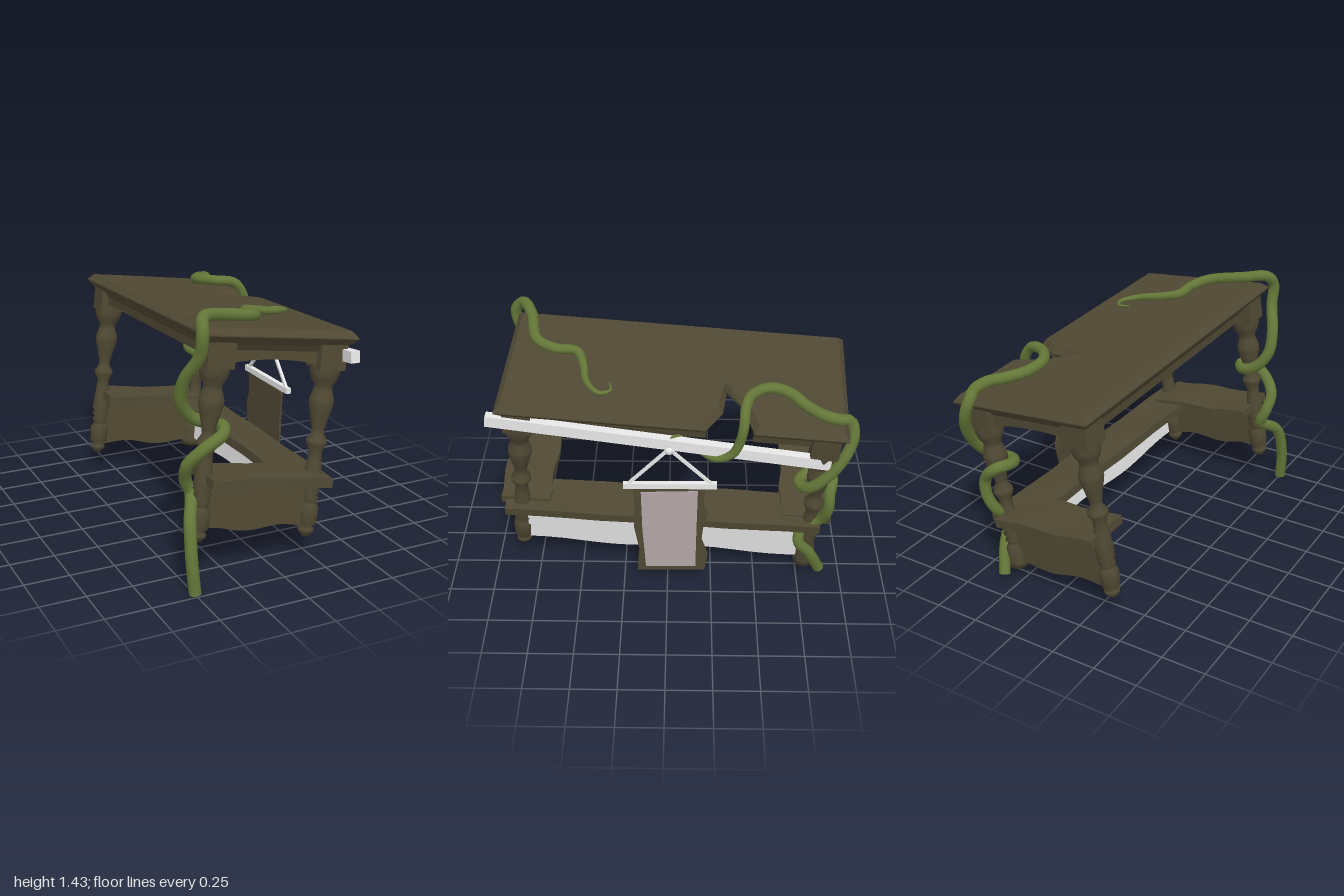
import * as THREE from 'three';

const mat = (name, color) => {
  const m = new THREE.MeshStandardMaterial({ color, side: THREE.DoubleSide });
  m.name = name;
  return m;
};
const V = (x, y, z) => new THREE.Vector3(x, y, z);

export function createModel() {
  const wood = mat('dark wood', 0x4f4833);
  const vineGreen = mat('vine green', 0x647638);
  const pale = mat('pale grey', 0xf2f2f2);
  const mauve = mat('mauve cloth', 0xb3a7a9);
  const model = new THREE.Group();
  model.name = 'overgrownTable';

  const add = (parent, name, geo, material, x = 0, y = 0, z = 0) => {
    const m = new THREE.Mesh(geo, material);
    m.name = name;
    m.position.set(x, y, z);
    parent.add(m);
    return m;
  };
  const outline = pts => new THREE.Shape(pts.map(p => new THREE.Vector2(p[0], p[1])));

  // The table leans as one rigid piece; its own origin is the middle of the top
  const table = new THREE.Group();
  table.name = 'table';
  const ez = V(-0.043, 0.059, 0.997).normalize();
  const ey = ez.clone().cross(V(0.99, -0.13, 0.047)).normalize();
  const ex = ey.clone().cross(ez);
  table.quaternion.setFromRotationMatrix(new THREE.Matrix4().makeBasis(ex, ey, ez));
  table.position.set(0.08, 1.245, -0.045);
  model.add(table);

  // Sharp-lipped top with a broken notch in its left edge
  const topShape = outline([
    [-0.43, -0.93], [0.43, -0.93], [0.43, 0.18], [0.285, 0.265],
    [0.11, 0.28], [0.23, 0.37], [0.43, 0.435], [0.43, 0.93], [-0.43, 0.93],
  ]);
  const topGeo = new THREE.ExtrudeGeometry(topShape, {
    depth: 0.006, bevelThickness: 0.034, bevelSize: 0.03, bevelOffset: -0.03, bevelSegments: 1,
  });
  topGeo.rotateX(-Math.PI / 2);
  add(table, 'tableTop', topGeo, wood, 0, -0.04, 0);

  // Upright panel whose lower edge follows a rule
  const panel = (width, top, bottom, depth) => {
    const pts = [[-width / 2, top]];
    for (let i = 0; i <= 16; i++) pts.push([(i / 16 - 0.5) * width, bottom(i / 16)]);
    pts.push([width / 2, top]);
    return new THREE.ExtrudeGeometry(outline(pts), { depth, bevelEnabled: false }).translate(0, 0, -depth / 2);
  };

  // Turned legs with square heads; the back left one has lost its foot
  const toPoints = a => a.map(p => new THREE.Vector2(p[0], p[1]));
  const foot = [[0, -1.13], [0.02, -1.128], [0.043, -1.1], [0.043, -1.085], [0.026, -1.062]];
  const stump = [[0, -1.085], [0.058, -1.085]];
  const shaft = [
    [0.052, -1.055], [0.055, -0.965], [0.04, -0.945], [0.036, -0.93], [0.049, -0.915], [0.038, -0.895],
    [0.051, -0.875], [0.04, -0.855], [0.053, -0.84], [0.045, -0.76], [0.038, -0.7], [0.036, -0.655],
    [0.055, -0.615], [0.055, -0.595], [0.033, -0.56], [0.035, -0.53], [0.052, -0.46], [0.066, -0.4],
    [0.064, -0.37], [0.05, -0.325], [0.049, -0.3], [0.07, -0.265], [0.08, -0.23], [0.08, -0.19],
  ];
  const legGeo = new THREE.LatheGeometry(toPoints([...foot, ...shaft]), 16);
  const brokenLegGeo = new THREE.LatheGeometry(toPoints([...stump, ...shaft]), 16);
  const headGeo = new THREE.BoxGeometry(0.15, 0.155, 0.15);
  for (const sx of [-1, 1]) for (const sz of [-1, 1]) {
    const broken = sx > 0 && sz < 0;
    const x = sx * 0.315 + (broken ? 0.01 : 0);
    add(table, 'leg', broken ? brokenLegGeo : legGeo, wood, x, 0, sz * 0.82);
    add(table, 'legHead', headGeo, wood, x, -0.132, sz * 0.82);
  }

  // Coved aprons below the top, the left one broken at the notch
  const cove = outline([[0, -0.06], [0.095, -0.06], [0.07, -0.09], [0.05, -0.12], [0.045, -0.165], [0, -0.165]]);
  const apron = (name, length, x, z, turn) => {
    const g = new THREE.ExtrudeGeometry(cove, { depth: length, bevelEnabled: false }).translate(0, 0, -length / 2);
    add(table, name, g, wood, x, 0, z).rotation.y = turn;
  };
  apron('leftFrontApron', 1.06, 0.3, 0.345, 0);
  apron('leftBackApron', 0.44, 0.3, -0.655, 0);
  apron('rightApron', 1.75, -0.3, 0, Math.PI);
  for (const s of [-1, 1]) {
    apron('endApron', 0.76, 0, s * 0.8, -s * Math.PI / 2);
    add(table, 'endArch', panel(0.52, -0.06, u => -0.2 + 0.035 * Math.sin(Math.PI * u) ** 0.5, 0.05),
      wood, 0, 0, s * 0.825);
  }

  // Warped shelf boards: two across the ends, one along the left side
  const board = (w, h, d) => {
    const g = new THREE.BoxGeometry(w, h, d, 10, 1, 10);
    const p = g.attributes.position;
    for (let i = 0; i < p.count; i++) {
      const x = p.getX(i), z = p.getZ(i);
      p.setY(i, p.getY(i) + 0.004 * Math.sin(x * 14 + z * 9));
      p.setZ(i, z + 0.008 * Math.sin(x * 17));
    }
    g.computeVertexNormals();
    return g;
  };
  for (const s of [-1, 1]) {
    add(table, 'endShelf', board(0.64, 0.05, 0.28), wood, 0, s > 0 ? -0.787 : -0.75, s > 0 ? 0.805 : -0.79);
    add(table, 'endPanel', panel(0.6, -0.78, u => -1.065 + 0.013 * Math.sin(u * 9 + s), 0.03), wood, 0, 0, s * 0.82);
  }
  const longSide = new THREE.Group();
  longSide.name = 'longSide';
  longSide.position.y = -0.785;
  longSide.rotation.x = 0.03;
  table.add(longSide);
  add(longSide, 'longShelf', board(0.26, 0.05, 1.78), wood, 0.265, 0, 0.01);
  add(longSide, 'longPanel', panel(1.58, -0.02, u => -0.262 + 0.014 * Math.sin(u * 11 + 1), 0.015)
    .rotateY(Math.PI / 2), pale, 0.335, 0, 0);

  // Square beam between two points
  const beam = (name, a, b, w, h) => {
    const m = add(model, name, new THREE.BoxGeometry(w, h, a.distanceTo(b)), pale);
    m.position.copy(a).add(b).multiplyScalar(0.5);
    m.lookAt(b);
  };
  beam('crossbar', V(0.405, 1.135, 0.96), V(0.46, 0.905, -0.87), 0.052, 0.062);
  beam('bannerRod', V(0.44, 0.732, 0.24), V(0.44, 0.735, -0.27), 0.03, 0.033);
  for (const z of [0.21, -0.24]) beam('bannerCord', V(0.445, 0.98, -0.01), V(0.44, 0.745, z), 0.016, 0.016);
  add(model, 'knot', new THREE.SphereGeometry(0.026, 12, 8), pale, 0.45, 0.975, -0.01);

  // Hanging banner: ragged backing and thin cloth face
  const banner = new THREE.Group();
  banner.name = 'banner';
  banner.position.set(0.43, 0.72, 0);
  banner.rotation.z = -0.03;
  model.add(banner);
  const sheet = (name, pts, depth, material, x) => add(banner, name,
    new THREE.ExtrudeGeometry(outline(pts), { depth, bevelEnabled: false }).rotateY(Math.PI / 2), material, x);
  sheet('bannerBacking', [
    [-0.187, -0.01], [-0.182, -0.2], [-0.187, -0.3], [-0.16, -0.46], [-0.172, -0.625], [0.213, -0.62],
    [0.23, -0.5], [0.193, -0.39], [0.2, -0.3], [0.225, -0.2], [0.197, -0.11], [0.213, 0],
  ], 0.012, wood, -0.008);
  sheet('bannerCloth', [
    [-0.145, -0.035], [-0.14, -0.3], [-0.123, -0.585], [0.16, -0.58], [0.163, -0.3], [0.167, -0.025],
  ], 0.005, mauve, 0.012);

  // Vines: tubes that thin towards the tip, with a cut end
  const vine = (name, pts, r) => {
    const curve = new THREE.CatmullRomCurve3(pts.map(p => V(...p)));
    const n = 150, sides = 10;
    const g = new THREE.TubeGeometry(curve, n, r, sides);
    const p = g.attributes.position, v = V(0, 0, 0);
    for (let i = 0; i <= n; i++) {
      const c = curve.getPointAt(i / n), k = 1 - 0.88 * (i / n) ** 8;
      for (let j = 0; j <= sides; j++) {
        const id = i * (sides + 1) + j;
        v.fromBufferAttribute(p, id).sub(c).multiplyScalar(k).add(c);
        p.setXYZ(id, v.x, v.y, v.z);
      }
    }
    add(model, name, g, vineGreen);
    const start = curve.getPointAt(0);
    const cap = add(model, name + 'CutEnd', new THREE.CircleGeometry(r, sides), wood, start.x, start.y, start.z);
    cap.lookAt(start.clone().sub(curve.getTangentAt(0)));
  };
  vine('frontVine', [
    [-0.5, 0.01, 0.97], [-0.51, 0.2, 0.95], [-0.49, 0.38, 0.89], [-0.43, 0.47, 0.77], [-0.46, 0.55, 0.77],
    [-0.47, 0.65, 0.82], [-0.4, 0.74, 0.87], [-0.3, 0.8, 0.868], [-0.265, 0.82, 0.8], [-0.31, 0.82, 0.73],
    [-0.4, 0.86, 0.72], [-0.47, 0.96, 0.74], [-0.47, 1.08, 0.78], [-0.42, 1.22, 0.86], [-0.415, 1.34, 0.88],
    [-0.39, 1.4, 0.83], [-0.27, 1.39, 0.77], [-0.06, 1.35, 0.72], [0, 1.33, 0.62], [0.01, 1.32, 0.5],
    [0.1, 1.3, 0.46], [0.25, 1.272, 0.43], [0.33, 1.255, 0.36], [0.3, 1.255, 0.3], [0.24, 1.26, 0.31],
  ], 0.033);
  vine('backVine', [
    [0.33, 0.05, -0.88], [0.37, 0.2, -0.81], [0.38, 0.29, -0.745], [0.35, 0.37, -0.76], [0.37, 0.45, -0.86],
    [0.41, 0.55, -0.89], [0.41, 0.65, -0.89], [0.34, 0.73, -0.9], [0.3, 0.73, -0.79], [0.36, 0.71, -0.72],
    [0.45, 0.73, -0.76], [0.48, 0.82, -0.85], [0.47, 0.95, -0.94], [0.44, 1.07, -0.98], [0.42, 1.15, -0.96],
    [0.44, 1.175, -0.89], [0.42, 1.19, -0.81], [0.35, 1.2, -0.73], [0.27, 1.225, -0.65], [0.25, 1.245, -0.55],
    [0.32, 1.25, -0.45], [0.42, 1.235, -0.41], [0.48, 1.15, -0.4], [0.485, 1.05, -0.38], [0.48, 0.97, -0.34],
    [0.46, 0.93, -0.26], [0.43, 0.94, -0.2], [0.39, 0.99, -0.12], [0.41, 1.04, -0.05], [0.45, 1.03, 0],
    [0.45, 1.01, 0.02],
  ], 0.032);

  return model;
}
